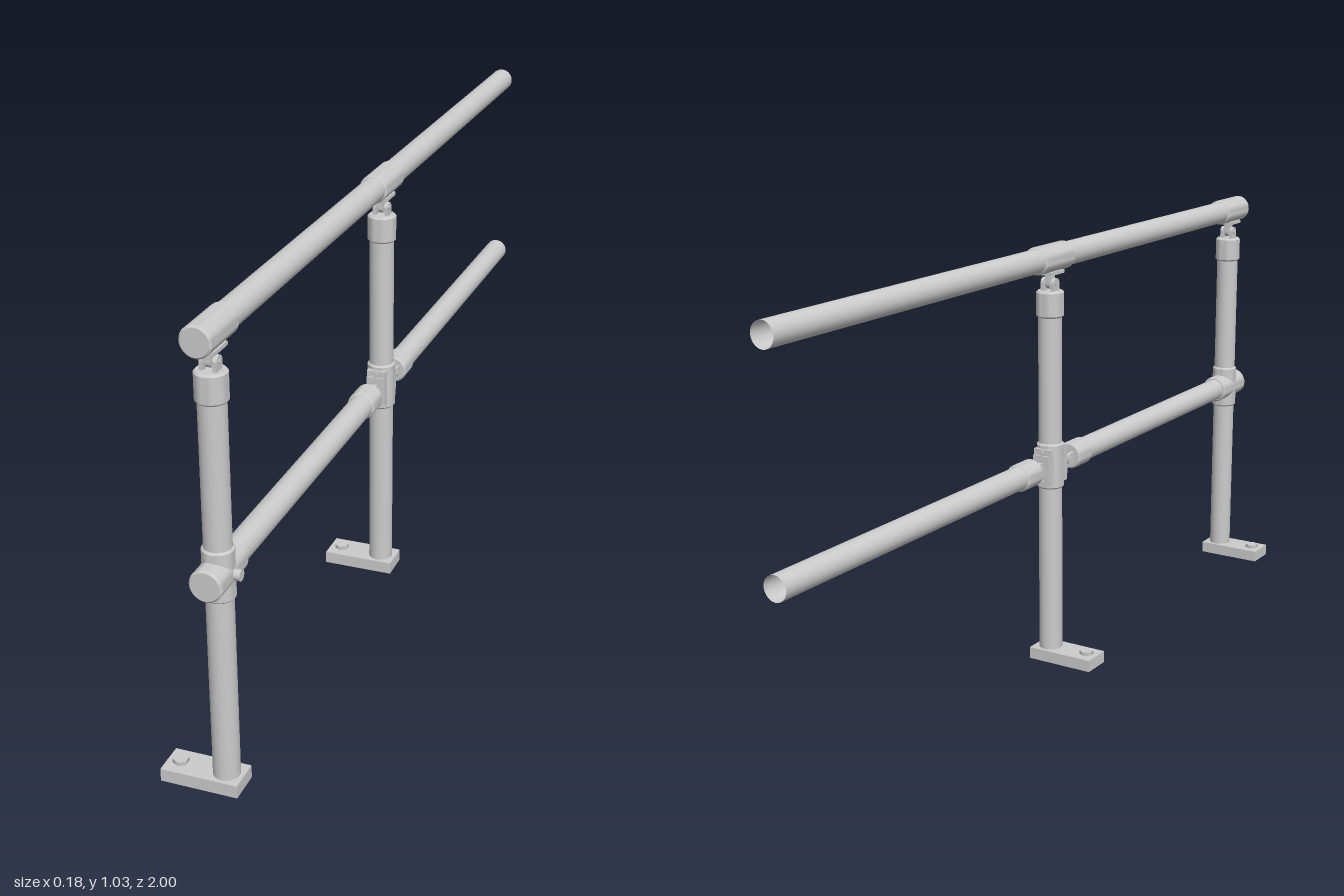
import * as THREE from 'three';
import { toCreasedNormals } from 'three/addons/utils/BufferGeometryUtils.js';

const X = 0.042, TUBE = 0.0285, SLEEVE = 0.033, RAIL_Y = 1, MID_Y = 0.5, FRONT_Z = 0.935;
const grey = new THREE.MeshStandardMaterial({ color: 0xcccccc });
const greyDouble = new THREE.MeshStandardMaterial({ color: 0xcccccc, side: THREE.DoubleSide });

function add(parent, name, geometry, x = 0, y = 0, z = 0, material = grey) {
  const mesh = new THREE.Mesh(geometry, material);
  mesh.name = name;
  mesh.position.set(x, y, z);
  parent.add(mesh);
  return mesh;
}

function subgroup(parent, name, x, y, z) {
  const g = new THREE.Group();
  g.name = name;
  g.position.set(x, y, z);
  parent.add(g);
  return g;
}

// Closed sleeve along y with small chamfers at both ends
function sleeveGeometry(length, radius = SLEEVE, chamfer = 0.004) {
  const h = length / 2;
  const profile = [[0, -h], [radius - chamfer, -h], [radius, -h + chamfer],
    [radius, h - chamfer], [radius - chamfer, h], [0, h]].map(p => new THREE.Vector2(...p));
  return toCreasedNormals(new THREE.LatheGeometry(profile, 28), 0.5);
}

// Tube along z, open at its rear end
function rail(parent, name, y, z0, z1) {
  const geo = new THREE.CylinderGeometry(TUBE, TUBE, Math.abs(z1 - z0), 28, 1, true).rotateX(Math.PI / 2);
  add(parent, name, geo, X, y, (z0 + z1) / 2, greyDouble);
}

// Hinge ear: rounded end at the pivot, straight shank reaching "reach" along y
function earGeometry(thickness, reach, radius = 0.013) {
  const s = new THREE.Shape();
  s.moveTo(-radius, 0);
  s.lineTo(-radius, -reach);
  s.lineTo(radius, -reach);
  s.lineTo(radius, 0);
  s.absarc(0, 0, radius, 0, Math.PI, false);
  const hole = new THREE.Path();
  hole.absarc(0, 0, 0.006, 0, Math.PI * 2, true);
  s.holes.push(hole);
  return new THREE.ExtrudeGeometry(s, { depth: thickness, bevelEnabled: false, curveSegments: 10 })
    .translate(0, 0, -thickness / 2).rotateY(Math.PI / 2);
}

// Swivel joint: tube socket below the pivot, fitting lug above it
function swivel(parent, name, x, y, z, turn = 0) {
  const g = subgroup(parent, name, x, y, z);
  g.rotation.x = turn;
  add(g, 'socket', sleeveGeometry(0.063), 0, -0.0485, 0);
  for (const s of [-1, 1]) add(g, 'forkEar', earGeometry(0.008, 0.02), s * 0.014, 0, 0);
  add(g, 'lug', earGeometry(0.012, 0.03).rotateX(Math.PI));
  add(g, 'pivotPin', new THREE.CylinderGeometry(0.0055, 0.0055, 0.04, 12).rotateZ(Math.PI / 2));
  add(g, 'lugPad', new THREE.BoxGeometry(0.044, 0.008, 0.06), 0, 0.026, 0);
}

// Hollow foot plate with one fixing bolt
function foot(parent, z) {
  const g = subgroup(parent, 'foot', 0, 0, z);
  const rect = (path, x0, x1, h) => {
    path.moveTo(x0, -h);
    path.lineTo(x1, -h);
    path.lineTo(x1, h);
    path.lineTo(x0, h);
    path.closePath();
    return path;
  };
  const rim = rect(new THREE.Shape(), -0.09, 0.08, 0.037);
  rim.holes.push(rect(new THREE.Path(), -0.078, 0.068, 0.025));
  add(g, 'footRim', new THREE.ExtrudeGeometry(rim, { depth: 0.022, bevelEnabled: false }).rotateX(-Math.PI / 2));
  add(g, 'footTop', new THREE.BoxGeometry(0.17, 0.008, 0.074), -0.005, 0.025, 0);
  add(g, 'footBolt', new THREE.CylinderGeometry(0.017, 0.017, 0.01, 6), -0.061, 0.033, 0);
  add(g, 'boltShank', new THREE.CylinderGeometry(0.009, 0.009, 0.03, 12), -0.061, 0.015, 0);
}

export function createModel() {
  const model = new THREE.Group();
  model.name = 'handrail';

  // Posts with feet, top swivels and rail sleeves
  for (const z of [FRONT_Z, 0]) {
    add(model, 'post', new THREE.CylinderGeometry(TUBE, TUBE, 0.87, 28), X, 0.46, z);
    foot(model, z);
    swivel(model, 'topSwivel', X, 0.941, z);
    add(model, 'railSleeve', sleeveGeometry(0.126).rotateX(Math.PI / 2), X, RAIL_Y, z);
  }

  // Rails
  rail(model, 'topRail', RAIL_Y, 0.98, -1);
  rail(model, 'frontMidRail', MID_Y, 0.97, 0.1);
  rail(model, 'rearMidRail', MID_Y, -0.1, -1);

  // Cross fitting on the front post
  const cross = subgroup(model, 'crossFitting', X, MID_Y, FRONT_Z);
  add(cross, 'verticalSleeve', sleeveGeometry(0.112));
  add(cross, 'railSleeve', sleeveGeometry(0.13, 0.035).rotateX(Math.PI / 2));
  add(cross, 'setScrew', new THREE.CylinderGeometry(0.012, 0.012, 0.02, 12).rotateZ(Math.PI / 2), 0.038, 0, 0);

  // Clamp on the middle post, with a plate and swivel on each side
  const clamp = subgroup(model, 'postClamp', X, MID_Y, 0);
  add(clamp, 'clampSleeve', sleeveGeometry(0.112));
  for (const s of [1, -1]) {
    add(clamp, 'clampPlate', new THREE.BoxGeometry(0.046, 0.09, 0.014), 0, 0, s * 0.031);
    for (const e of [-1, 1]) {
      add(clamp, 'clampBolt', new THREE.CylinderGeometry(0.007, 0.007, 0.006, 6).rotateX(Math.PI / 2), 0, e * 0.036, s * 0.039);
    }
    swivel(model, 'midSwivel', X, MID_Y, s * 0.065, -s * Math.PI / 2);
  }
  return model;
}
